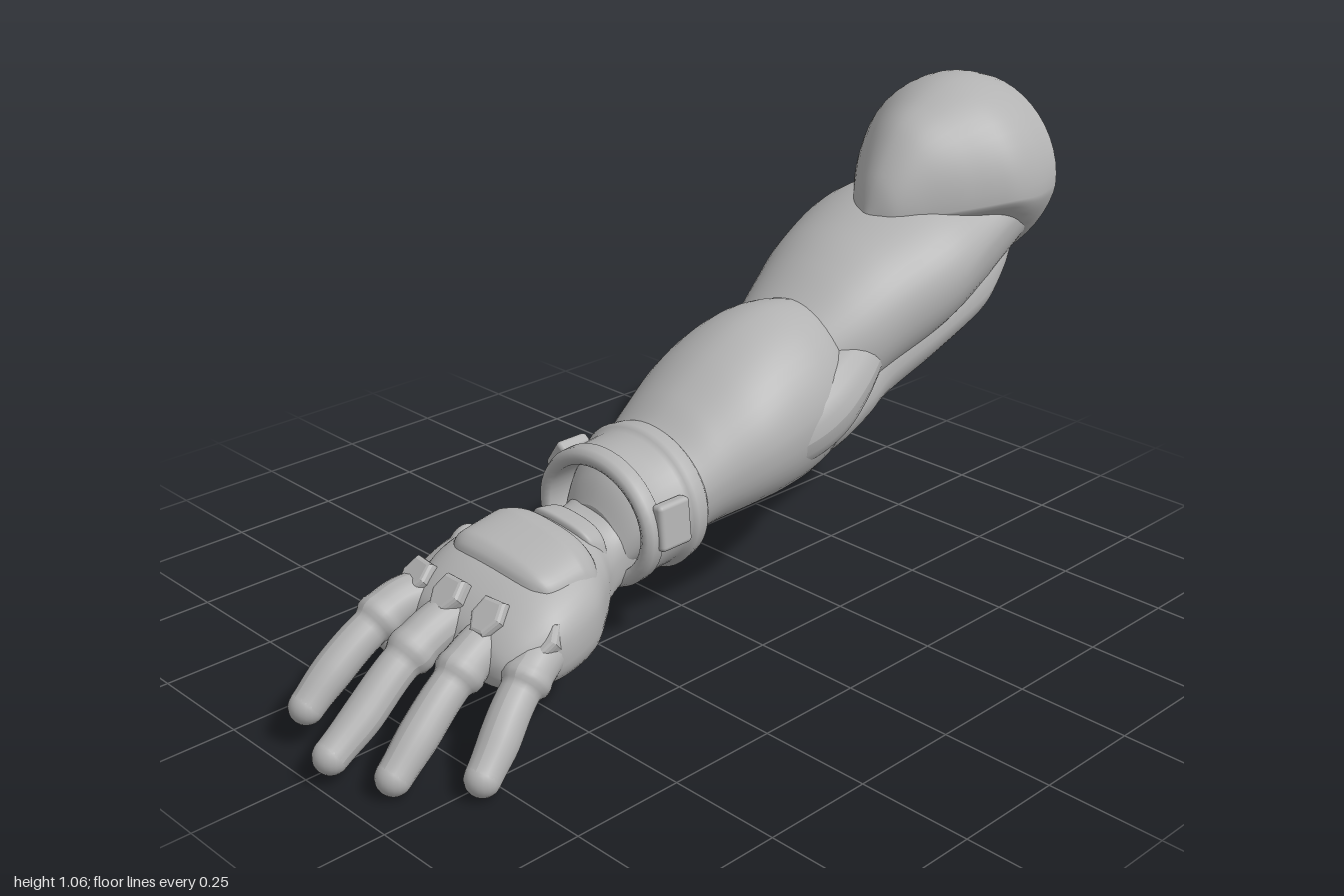
import * as THREE from 'three';
import { RoundedBoxGeometry } from 'three/addons/geometries/RoundedBoxGeometry.js';

const grey = new THREE.MeshStandardMaterial({ color: 0xb2b2b2 });
grey.name = 'clay grey';

const mesh = (name, geometry) => {
  const m = new THREE.Mesh(geometry, grey);
  m.name = name;
  return m;
};

// Catmull-Rom blend of rows of numbers, t from 0 to rows.length - 1
function blend(rows, t) {
  const i = Math.min(Math.floor(t), rows.length - 2), f = t - i;
  const r = k => rows[Math.max(0, Math.min(rows.length - 1, k))];
  return r(i).map((b, k) => {
    const a = r(i - 1)[k], c = r(i + 1)[k], d = r(i + 2)[k];
    return b + 0.5 * f * (c - a + f * (2 * a - 5 * b + 4 * c - d + f * (3 * (b - c) + d - a)));
  });
}

// Skin over cross-sections [z, centreX, centreY, halfWidth, heightAbove, heightBelow];
// power sets the roundness of the upper and lower halves
function loft(rows, { steps = 8, power = [2, 2], roll = 0, smooth = true } = {}) {
  const N = 48, pos = [], index = [];
  const count = smooth ? (rows.length - 1) * steps : rows.length - 1;
  for (let j = 0; j <= count; j++) {
    const [z, cx, cy, w, up, down] = smooth ? blend(rows, j / steps) : rows[j];
    for (let i = 0; i < N; i++) {
      const a = (i / N) * Math.PI * 2, c = Math.cos(a), s = Math.sin(a);
      const e = 2 / power[s > 0 ? 0 : 1];
      const x = cx + Math.max(w, 0) * Math.sign(c) * Math.abs(c) ** e;
      const y = cy + Math.max(s > 0 ? up : down, 0) * Math.sign(s) * Math.abs(s) ** e - roll * (x - cx);
      // slanted cut at the shoulder
      const slant = 0.12 * (1.05 - y) * THREE.MathUtils.clamp((-0.8 - z) / 0.2, 0, 1);
      pos.push(x, y, z + slant);
    }
  }
  for (let j = 0; j < count; j++) for (let i = 0; i < N; i++) {
    const k = (i + 1) % N, a = j * N + i, b = j * N + k;
    index.push(a, b, a + N, b, b + N, a + N);
  }
  // flat end caps with their own vertices
  for (const j of [0, count]) {
    const base = pos.length / 3, mid = [0, 0, 0];
    for (let i = 0; i < N; i++) for (let k = 0; k < 3; k++) {
      const v = pos[(j * N + i) * 3 + k];
      pos.push(v);
      mid[k] += v / N;
    }
    pos.push(...mid);
    for (let i = 0; i < N; i++) {
      const k = (i + 1) % N;
      index.push(base + N, base + (j ? i : k), base + (j ? k : i));
    }
  }
  const g = new THREE.BufferGeometry();
  g.setAttribute('position', new THREE.Float32BufferAttribute(pos, 3));
  g.setIndex(index);
  g.computeVertexNormals();
  return g;
}

// Tapered tube with a ball at each end; radii are [t, radius] stops
function limb(name, points, radii) {
  const path = new THREE.CatmullRomCurve3(points.map(p => new THREE.Vector3(...p)));
  const n = 48, sides = 20, g = new THREE.TubeGeometry(path, n, 1, sides);
  const radius = t => {
    const i = Math.max(1, radii.findIndex(r => r[0] >= t));
    const [t0, r0] = radii[i - 1], [t1, r1] = radii[i];
    return THREE.MathUtils.lerp(r0, r1, THREE.MathUtils.smoothstep(t, t0, t1));
  };
  const p = g.attributes.position, v = new THREE.Vector3();
  for (let j = 0; j <= n; j++) {
    const c = path.getPointAt(j / n), r = radius(j / n);
    for (let i = 0; i <= sides; i++) {
      const k = j * (sides + 1) + i;
      v.fromBufferAttribute(p, k).sub(c).multiplyScalar(r).add(c);
      p.setXYZ(k, v.x, v.y, v.z);
    }
  }
  g.computeVertexNormals();
  const group = new THREE.Group();
  group.name = name;
  group.add(mesh(name + 'Tube', g));
  for (const t of [0, 1]) {
    const ball = mesh(name + 'End', new THREE.SphereGeometry(radius(t), 20, 14));
    ball.position.copy(path.getPointAt(t));
    group.add(ball);
  }
  return group;
}

const handRows = [
  [0.18, 0.02, 0.31, 0.1, 0.08, 0.08], [0.3, 0.02, 0.25, 0.1, 0.085, 0.085],
  [0.37, 0.035, 0.245, 0.135, 0.1, 0.115], [0.45, 0.05, 0.245, 0.18, 0.11, 0.125],
  [0.55, 0.06, 0.23, 0.195, 0.105, 0.11], [0.62, 0.06, 0.215, 0.18, 0.085, 0.09],
  [0.67, 0.055, 0.205, 0.15, 0.05, 0.06], [0.69, 0.05, 0.2, 0.1, 0.012, 0.015]];
const ROLL = 0.12, POWER = 2.6;

// Height of the back of the hand at x, z
function handTop(x, z) {
  const i = Math.max(1, handRows.findIndex(r => r[0] >= z));
  const a = handRows[i - 1], b = handRows[i], f = (z - a[0]) / (b[0] - a[0]);
  const [, cx, cy, w, up] = a.map((v, k) => THREE.MathUtils.lerp(v, b[k], f));
  const u = Math.min(1, Math.abs((x - cx) / w));
  return cy + up * (1 - u ** POWER) ** (1 / POWER) - ROLL * (x - cx);
}

// Raised pad that follows the back of the hand
function handPad(name, cx, cz, w, d, thick) {
  const g = new THREE.PlaneGeometry(2, 2, 40, 30).rotateX(-Math.PI / 2);
  const p = g.attributes.position;
  for (let i = 0; i < p.count; i++) {
    const u = p.getX(i), v = p.getZ(i);
    const edge = Math.max(0, 1 - (u ** 8 + v ** 8));
    const x = cx + u * w * (1 - 0.12 * v ** 4), z = cz + v * d * (1 - 0.15 * u ** 4) - 0.05 * (x - cx);
    p.setXYZ(i, x, handTop(x, z) - 0.012 + (thick + 0.012) * Math.sqrt(edge), z);
  }
  g.computeVertexNormals();
  return mesh(name, g);
}

export function createModel() {
  const arm = new THREE.Group();
  arm.name = 'armoredArm';

  // Shoulder cap, tapering to a point in front, flat at the cut end
  arm.add(mesh('shoulder', loft([
    [-1, 0, 0.83, 0.24, 0.215, 0.235], [-0.92, 0, 0.82, 0.247, 0.245, 0.17],
    [-0.83, 0.005, 0.82, 0.23, 0.238, 0.1], [-0.74, 0.01, 0.81, 0.178, 0.215, 0.08],
    [-0.66, 0.015, 0.8, 0.12, 0.175, 0.06], [-0.59, 0.02, 0.79, 0.062, 0.09, 0.04],
    [-0.56, 0.02, 0.785, 0.01, 0.01, 0.01]], { power: [1.9, 1.6] })));

  // Upper arm muscles
  arm.add(mesh('biceps', loft([
    [-0.98, 0, 0.78, 0.2, 0.1, 0.16], [-0.8, 0, 0.73, 0.217, 0.12, 0.2],
    [-0.65, -0.005, 0.67, 0.24, 0.16, 0.19], [-0.5, -0.005, 0.61, 0.215, 0.165, 0.19],
    [-0.4, 0, 0.56, 0.188, 0.16, 0.18], [-0.3, 0, 0.52, 0.15, 0.125, 0.15],
    [-0.2, 0, 0.48, 0.1, 0.09, 0.1]])));
  arm.add(mesh('triceps', loft([
    [-0.985, 0, 0.7, 0.15, 0.1, 0.1], [-0.9, 0, 0.66, 0.185, 0.14, 0.12],
    [-0.8, 0, 0.6, 0.2, 0.16, 0.12], [-0.65, 0, 0.54, 0.195, 0.15, 0.125],
    [-0.5, 0, 0.48, 0.178, 0.15, 0.13], [-0.42, 0.01, 0.435, 0.17, 0.14, 0.125],
    [-0.32, 0.01, 0.4, 0.165, 0.12, 0.13], [-0.2, 0.01, 0.39, 0.13, 0.1, 0.11]], { power: [2, 1.85] })));

  // Forearm with a muscle ridge along each side
  arm.add(mesh('forearm', loft([
    [-0.4, 0.025, 0.46, 0.08, 0.1, 0.13], [-0.34, 0.025, 0.465, 0.155, 0.18, 0.18],
    [-0.25, 0.018, 0.46, 0.2, 0.203, 0.2], [-0.15, 0.018, 0.445, 0.21, 0.2, 0.198],
    [-0.05, 0.02, 0.42, 0.203, 0.18, 0.173], [0.05, 0.02, 0.385, 0.175, 0.15, 0.147],
    [0.13, 0.02, 0.35, 0.155, 0.125, 0.135], [0.2, 0.02, 0.335, 0.14, 0.118, 0.118],
    [0.25, 0.02, 0.305, 0.112, 0.1, 0.1], [0.28, 0.02, 0.27, 0.09, 0.08, 0.08]], { power: [1.85, 2.1] })));
  arm.add(limb('outerForearmMuscle',
    [[0.1, 0.56, -0.5], [0.138, 0.49, -0.34], [0.142, 0.43, -0.2], [0.09, 0.38, 0.02]],
    [[0, 0.06], [0.5, 0.092], [1, 0.08]]));
  arm.add(limb('innerForearmMuscle',
    [[-0.09, 0.51, -0.45], [-0.105, 0.45, -0.28], [-0.1, 0.41, -0.12], [-0.05, 0.37, 0.02]],
    [[0, 0.06], [0.5, 0.092], [1, 0.08]]));

  // Wrist cuff: raised collar, main band, hollow front
  const ring = [[0.1, 0.12], [0.105, 0.143], [0.115, 0.152], [0.145, 0.157], [0.155, 0.152], [0.163, 0.144],
    [0.2, 0.143], [0.235, 0.143], [0.24, 0.149], [0.265, 0.149], [0.277, 0.142], [0.28, 0.13], [0.272, 0.115], [0.2, 0.108]];
  arm.add(mesh('wristCuff', loft(
    ring.map(([z, r]) => [z, 0.02, 0.335 - (z - 0.1) * 0.1, r + 0.025, r, r]), { smooth: false })));
  const tab = (name, size, at, turn) => {
    const t = mesh(name, new RoundedBoxGeometry(...size, 3, 0.01));
    t.position.set(...at);
    t.rotation.set(...turn);
    arm.add(t);
  };
  tab('outerCuffTab', [0.03, 0.1, 0.085], [0.188, 0.345, 0.21], [0, 0, 0.1]);
  tab('innerCuffTab', [0.028, 0.075, 0.08], [-0.13, 0.405, 0.21], [0, 0, -0.6]);

  // Gloved hand with pads on its back
  arm.add(mesh('hand', loft(handRows, { power: [POWER, POWER], roll: ROLL })));
  arm.add(handPad('backPlate', 0.05, 0.485, 0.15, 0.095, 0.02));
  arm.add(handPad('wristPad', 0.03, 0.35, 0.09, 0.032, 0.014));

  // Fingers: glove sleeve with a rim, then a bare, tapering tip
  const sleeve = [[0, 0.054], [0.22, 0.049], [0.36, 0.049], [0.4, 0.052], [0.44, 0.05], [0.47, 0.041],
    [0.75, 0.042], [1, 0.037]];
  const fingers = {
    index: [[-0.075, 0.235, 0.59], [-0.1, 0.235, 0.68], [-0.105, 0.19, 0.78], [-0.108, 0.125, 0.87], [-0.108, 0.085, 0.917]],
    middle: [[0.02, 0.235, 0.59], [0.022, 0.23, 0.68], [0.026, 0.18, 0.79], [0.032, 0.105, 0.89], [0.036, 0.058, 0.963]],
    ring: [[0.105, 0.215, 0.57], [0.122, 0.21, 0.66], [0.137, 0.16, 0.76], [0.15, 0.09, 0.85], [0.157, 0.042, 0.907]],
    little: [[0.18, 0.2, 0.51], [0.212, 0.195, 0.59], [0.24, 0.14, 0.68], [0.263, 0.08, 0.745], [0.277, 0.042, 0.79]],
  };
  for (const [name, path] of Object.entries(fingers)) arm.add(limb(name + 'Finger', path, sleeve));
  arm.add(limb('thumb',
    [[0, 0.21, 0.38], [-0.11, 0.215, 0.41], [-0.18, 0.195, 0.46], [-0.222, 0.122, 0.53], [-0.262, 0.056, 0.585]],
    [[0, 0.08], [0.35, 0.08], [0.58, 0.071], [0.64, 0.072], [0.68, 0.067], [0.71, 0.056], [0.88, 0.055], [1, 0.046]]));

  // Thumb pad
  const thumbPad = mesh('thumbPad', new THREE.SphereGeometry(1, 24, 16));
  thumbPad.scale.set(0.032, 0.055, 0.055);
  thumbPad.position.set(-0.21, 0.225, 0.44);
  thumbPad.rotation.set(0.6, 0.3, -0.4);
  arm.add(thumbPad);

  // Six-sided knuckle guards
  const hex = new THREE.Shape([[-0.012, -0.034], [0.012, -0.034], [0.028, -0.004], [0.02, 0.026], [-0.02, 0.026], [-0.028, -0.004]]
    .map(p => new THREE.Vector2(...p)));
  const guard = new THREE.ExtrudeGeometry(hex, { depth: 0.02, bevelSize: 0.01, bevelThickness: 0.014, bevelSegments: 3 });
  for (const [x, y, z, turn] of [[-0.09, 0.266, 0.635, -0.1], [0.022, 0.272, 0.645, 0], [0.125, 0.256, 0.63, 0.12], [0.215, 0.222, 0.575, 0.3]]) {
    const k = mesh('knuckleGuard', guard);
    k.position.set(x, y, z);
    k.rotation.set(-0.85, turn, 0, 'YXZ');
    arm.add(k);
  }
  return arm;
}
